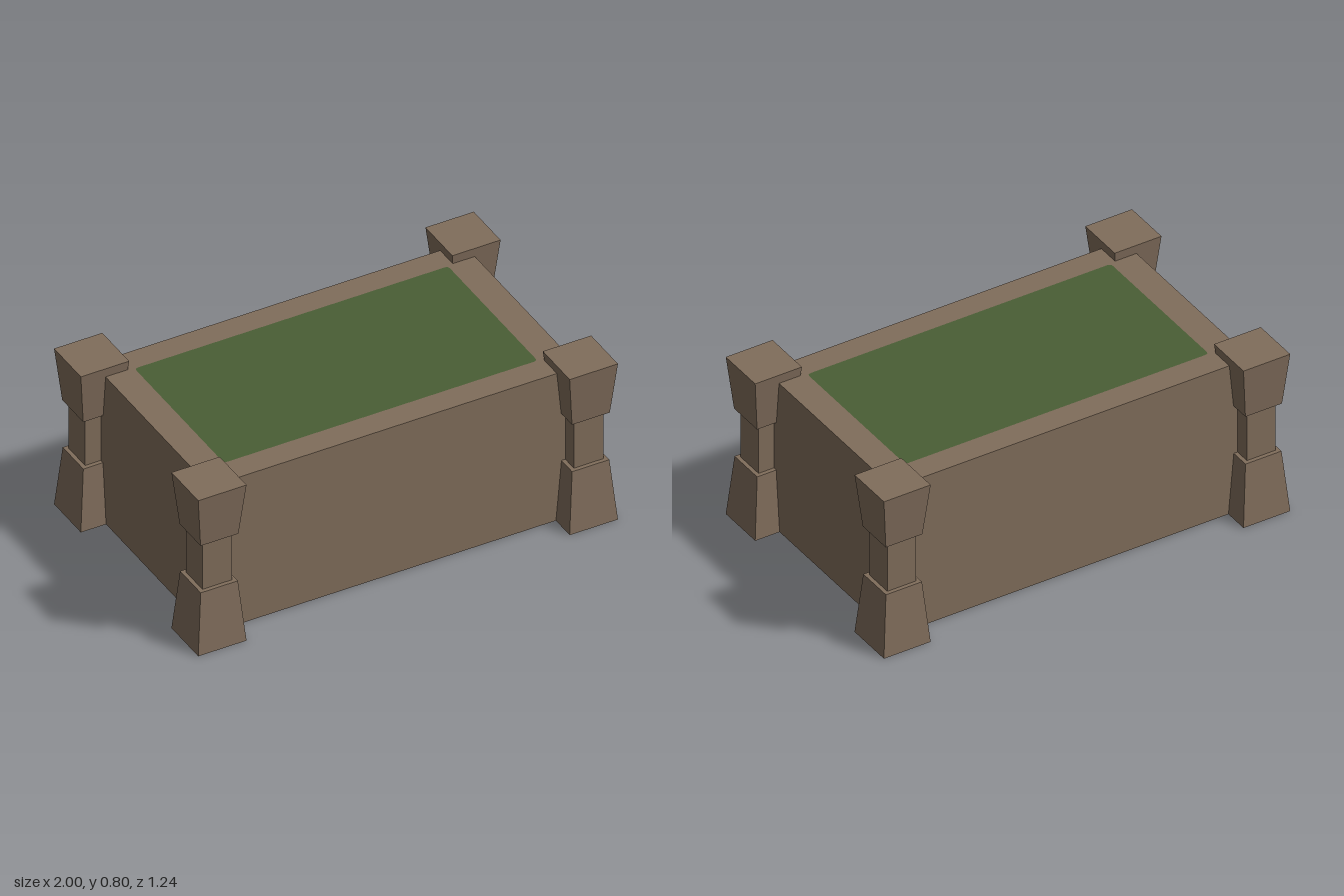
import * as THREE from 'three';

// Square-section shell, open at the bottom, from [halfWidth, y] profile points
function squareShell(profile) {
  const points = profile.map(([half, y]) => new THREE.Vector2(half * Math.SQRT2, y));
  const geometry = new THREE.LatheGeometry(points, 4, Math.PI / 4).toNonIndexed();
  geometry.computeVertexNormals();
  return geometry;
}

function roundedRect(w, d, r) {
  const s = new THREE.Shape();
  s.moveTo(-w + r, -d);
  s.lineTo(w - r, -d);
  s.quadraticCurveTo(w, -d, w, -d + r);
  s.lineTo(w, d - r);
  s.quadraticCurveTo(w, d, w - r, d);
  s.lineTo(-w + r, d);
  s.quadraticCurveTo(-w, d, -w, d - r);
  s.lineTo(-w, -d + r);
  s.quadraticCurveTo(-w, -d, -w + r, -d);
  return s;
}

export function createModel() {
  const wood = new THREE.MeshStandardMaterial({ color: 0x806d5b, flatShading: true, side: THREE.DoubleSide });
  wood.name = 'brown wood';
  const felt = new THREE.MeshStandardMaterial({ color: 0x4a5e35, side: THREE.DoubleSide });
  felt.name = 'green top';

  const model = new THREE.Group();
  model.name = 'table';
  const add = (name, geometry, material) => {
    const mesh = new THREE.Mesh(geometry, material);
    mesh.name = name;
    model.add(mesh);
    return mesh;
  };

  // Hollow body with a closed top and no floor
  const height = 0.755;
  const body = squareShell([[1, 0], [1, height], [0, height]]);
  body.scale(0.88, 1, 0.5);
  body.computeVertexNormals();
  add('body', body, wood);

  // Flat green panel on the top
  const panel = new THREE.ShapeGeometry(roundedRect(0.747, 0.383, 0.018), 4);
  panel.rotateX(-Math.PI / 2);
  add('topPanel', panel, felt).position.y = height + 0.002;

  // Corner posts: tapered foot, narrow neck, flared cap
  const post = squareShell([
    [0.115, 0], [0.0885, 0.3], [0.07, 0.3],
    [0.07, 0.543], [0.09, 0.543], [0.115, 0.8], [0, 0.8],
  ]);
  for (const [xName, x] of [['Left', 1], ['Right', -1]]) {
    for (const [zName, z] of [['front', 1], ['back', -1]]) {
      add(`${zName}${xName}Post`, post, wood).position.set(x * 0.885, 0, z * 0.503);
    }
  }
  return model;
}
